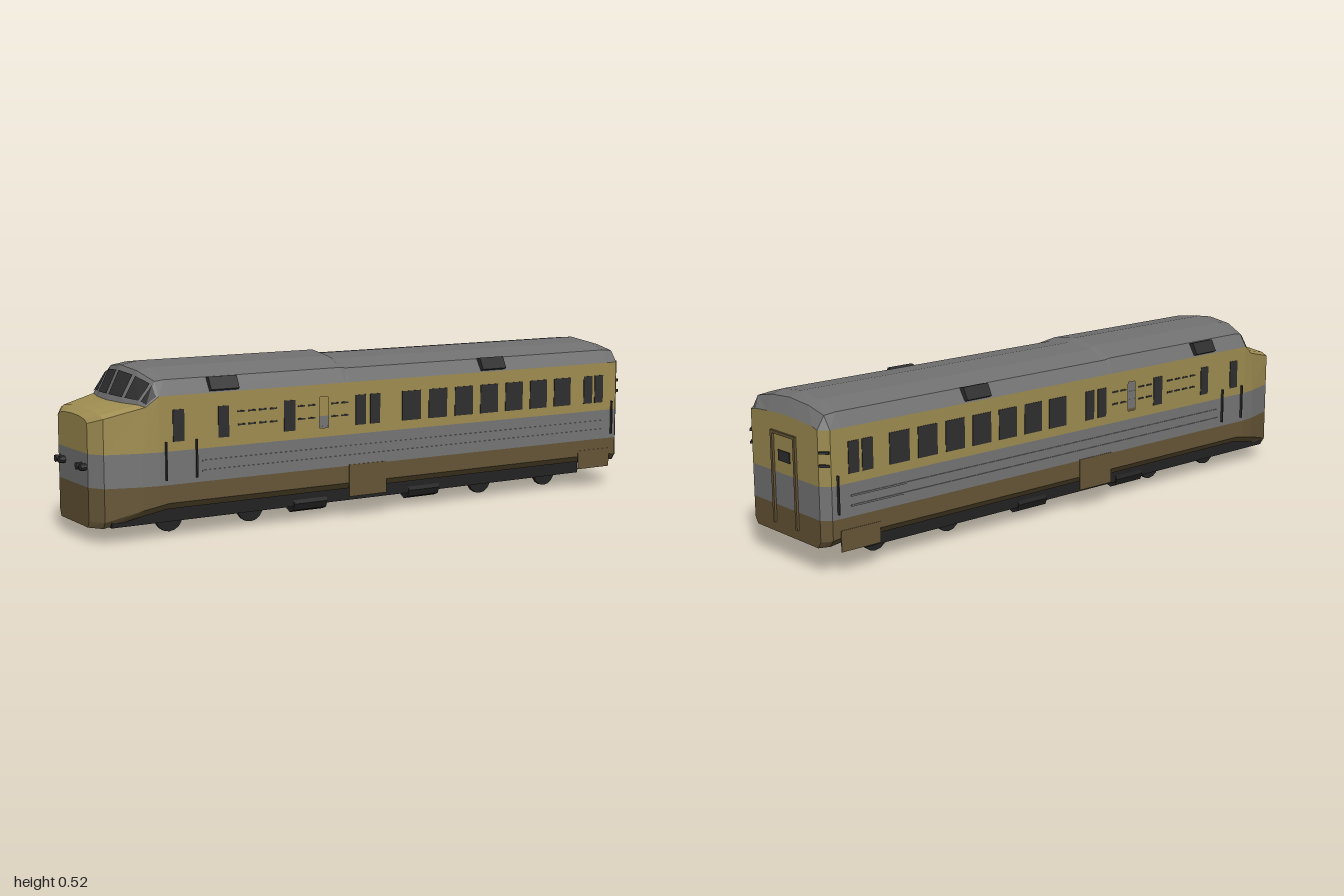
import * as THREE from 'three';

const mat = (name, color) => new THREE.MeshStandardMaterial({ name, color, flatShading: true });

export function createModel() {
  const yellow = mat('ochre paint', 0xa08e52);
  const grey = mat('band grey', 0x767677);
  const roofGrey = mat('roof grey', 0x707070);
  const brown = mat('skirt brown', 0x665637);
  const dark = mat('window dark', 0x2f2f2f);
  const under = mat('underframe black', 0x232323);
  [yellow, grey, roofGrey, brown, dark, under].forEach(m => { m.side = THREE.DoubleSide; });

  const root = new THREE.Group();
  root.name = 'railcar';
  const add = (name, geo, m, x = 0, y = 0, z = 0) => {
    const mesh = new THREE.Mesh(geo, m);
    mesh.name = name;
    mesh.position.set(x, y, z);
    root.add(mesh);
    return mesh;
  };
  // box given by its limits
  const box = (name, m, x0, x1, y0, y1, z0, z1) =>
    add(name, new THREE.BoxGeometry(x1 - x0, y1 - y0, Math.abs(z1 - z0)), m, (x0 + x1) / 2, (y0 + y1) / 2, (z0 + z1) / 2);
  const V = (x, y, z) => new THREE.Vector3(x, y, z);
  const quadMesh = (name, m, quads) => {
    const pos = [];
    quads.forEach(([a, b, c, d]) => [a, b, c, a, c, d].forEach(p => pos.push(p.x, p.y, p.z)));
    const geo = new THREE.BufferGeometry();
    geo.setAttribute('position', new THREE.Float32BufferAttribute(pos, 3));
    geo.computeVertexNormals();
    return add(name, geo, m);
  };

  // Half cross-section, from the floor centre out, up the side and over the roof
  const W = 0.197;
  const section = (x, w, yb, tops, dx = [0, 0, 0, 0]) => [
    V(x, yb, 0), V(x, yb, w * 0.92), V(x, yb + 0.02, w), V(x, 0.165, w), V(x, 0.265, w),
    ...tops.map((y, i) => V(x + dx[i], y, w * [1, 0.86, 0.48, 0][i]))
  ];
  const noseTop = [0.355, 0.365, 0.371, 0.373];
  const high = [0.43, 0.475, 0.505, 0.517];
  const low = [0.43, 0.472, 0.495, 0.505];
  const tailTop = [0.43, 0.436, 0.441, 0.445];
  const stations = [
    section(-0.98, 0, 0.045, noseTop),
    section(-0.98, 0.11, 0.045, noseTop),
    section(-0.95, 0.158, 0.045, [0.37, 0.38, 0.387, 0.39]),
    section(-0.84, 0.19, 0.075, [0.4, 0.405, 0.405, 0.405], [0.01, 0, -0.02, -0.03]),
    section(-0.79, W, 0.085, [0.43, 0.472, 0.497, 0.507], [0, 0, -0.02, -0.03]),
    section(-0.76, W, 0.09, high),
    section(-0.15, W, 0.09, high),
    section(-0.13, W, 0.09, low),
    section(0.925, W, 0.09, low),
    section(0.965, W, 0.085, [0.43, 0.468, 0.484, 0.491]),
    section(0.99, 0.171, 0.08, tailTop),
    section(0.99, 0, 0.08, tailTop)
  ];
  const names = new Map([[under, 'floor'], [brown, 'lowerSkirt'], [grey, 'sideBand'], [yellow, 'upperBody'], [roofGrey, 'roof']]);
  const rows = [under, brown, brown, grey, yellow, roofGrey, roofGrey, roofGrey];
  const buckets = new Map([...names.keys()].map(m => [m, []]));
  const glass = [];
  const flip = (p, s) => V(p.x, p.y, p.z * s);
  const orient = (q, s) => { const r = q.map(p => flip(p, s)); return s > 0 ? r : r.reverse(); };
  for (let i = 0; i < stations.length - 1; i++) {
    for (let j = 0; j < rows.length; j++) {
      if (j === 4 && i >= 5 && i <= 7) continue; // pierced window panel fills this band
      const q = [stations[i][j], stations[i + 1][j], stations[i + 1][j + 1], stations[i][j + 1]];
      const m = j >= 5 && (i < 3 || i === 10) ? yellow : rows[j];
      for (const s of [1, -1]) buckets.get(m).push(orient(q, s));
      // windscreen panes inset in the slope above the nose
      if (i === 3 && j >= 5) {
        const n = V(0, 0, 0).crossVectors(q[2].clone().sub(q[0]), q[3].clone().sub(q[1])).normalize().multiplyScalar(0.004);
        const at = (u, v) => q[0].clone().lerp(q[1], u).lerp(q[3].clone().lerp(q[2], u), v).add(n);
        const pane = [at(0.15, 0.08), at(0.85, 0.08), at(0.85, 0.92), at(0.15, 0.92)];
        for (const s of [1, -1]) glass.push(orient(pane, s));
      }
    }
  }
  buckets.forEach((quads, m) => quadMesh(names.get(m), m, quads));
  quadMesh('windscreen', dark, glass);

  // Window band, with one opening right through the car
  const panel = new THREE.Shape([[-0.76, 0.265], [0.925, 0.265], [0.925, 0.43], [-0.76, 0.43]].map(p => new THREE.Vector2(...p)));
  panel.holes.push(new THREE.Path([[-0.243, 0.293], [-0.243, 0.39], [-0.211, 0.39], [-0.211, 0.293]].map(p => new THREE.Vector2(...p))));
  const panelGeo = new THREE.ShapeGeometry(panel);
  const windows = [[-0.746, -0.709], [-0.596, -0.56], [-0.37, -0.33], [-0.11, -0.072], [-0.056, -0.019], [0.82, 0.858], [0.869, 0.906]];
  for (let i = 0; i < 7; i++) windows.push([0.066 + i * 0.1038, 0.138 + i * 0.1038]);

  for (const s of [1, -1]) {
    const wall = add('windowBand', panelGeo, yellow, 0, 0, s * W);
    if (s < 0) { wall.rotation.y = Math.PI; wall.scale.x = -1; }
    const side = (name, m, x0, x1, y0, y1, t) => box(name, m, x0, x1, y0, y1, s * (W - 0.001), s * (W + t));
    windows.forEach(([a, b]) => side('sideWindow', dark, a, b, 0.293, 0.388, 0.002));

    // small louvre slots beside the windows
    for (const [a, n] of [[-0.53, 4], [-0.32, 2], [-0.2, 2]])
      for (let k = 0; k < n; k++)
        for (const y of [0.325, 0.365]) side('louvre', dark, a + k * 0.037, a + k * 0.037 + 0.024, y, y + 0.005, 0.003);

    // ribs along the grey band
    for (const y of [0.195, 0.225]) side('sideRib', grey, -0.65, 0.9, y, y + 0.005, 0.003);

    // handrails beside the doors
    for (const x of [-0.77, -0.67, 0.945]) {
      side('handrail', dark, x - 0.002, x + 0.002, 0.18, 0.295, 0.008);
    }

    // hanging skirt panels
    side('skirtPanel', brown, -0.135, 0.005, 0.066, 0.168, 0.002);
    side('skirtPanel', brown, 0.8, 0.938, 0.066, 0.13, 0.002);

    // roof edge vents
    for (const x of [-0.575, 0.428]) {
      const vent = new THREE.Shape([[0.19, 0.432], [0.207, 0.44], [0.188, 0.477], [0.165, 0.472]].map(p => new THREE.Vector2(...p)));
      const geo = new THREE.ExtrudeGeometry(vent, { depth: 0.095, bevelEnabled: false });
      geo.rotateY(-Math.PI / 2);
      geo.translate(0.0475, 0, 0);
      const mesh = add('roofVent', geo, dark, x);
      mesh.scale.z = s;
    }

    // grab steps on the rear corners
    for (const y of [0.327, 0.365]) {
      const step = add('cornerStep', new THREE.BoxGeometry(0.03, 0.007, 0.008), dark, 0.98, y, s * 0.186);
      step.rotation.y = s * Math.PI / 4;
    }

    // paired headlights
    for (const z of [0.065, 0.095]) {
      const lamp = add('headlight', new THREE.CylinderGeometry(0.011, 0.011, 0.03, 8), dark, -0.983, 0.225, s * z);
      lamp.rotation.z = Math.PI / 2;
    }

    // wheels
    for (const x of [-0.71, -0.43, 0.46, 0.74]) {
      const wheel = add('wheel', new THREE.CylinderGeometry(0.045, 0.045, 0.013, 16), under, x, 0.045, s * 0.081);
      wheel.rotation.x = Math.PI / 2;
    }

    // tanks under the floor
    for (const x of [-0.255, 0.177]) {
      const tank = add('tank', new THREE.CylinderGeometry(0.03, 0.03, 0.12, 8), under, x, 0.055, s * 0.135);
      tank.rotation.z = Math.PI / 2;
    }
  }

  // Underframe
  box('underframe', under, -0.93, 0.83, 0.047, 0.095, -0.16, 0.16);

  // Rear door frame and window
  for (const s of [1, -1]) box('rearDoorPost', brown, 0.988, 0.997, 0.11, 0.39, s * 0.053, s * 0.063);
  box('rearDoorLintel', brown, 0.988, 0.997, 0.381, 0.39, -0.063, 0.063);
  box('rearDoorWindow', dark, 0.988, 0.993, 0.303, 0.335, -0.029, 0.03);

  return root;
}
